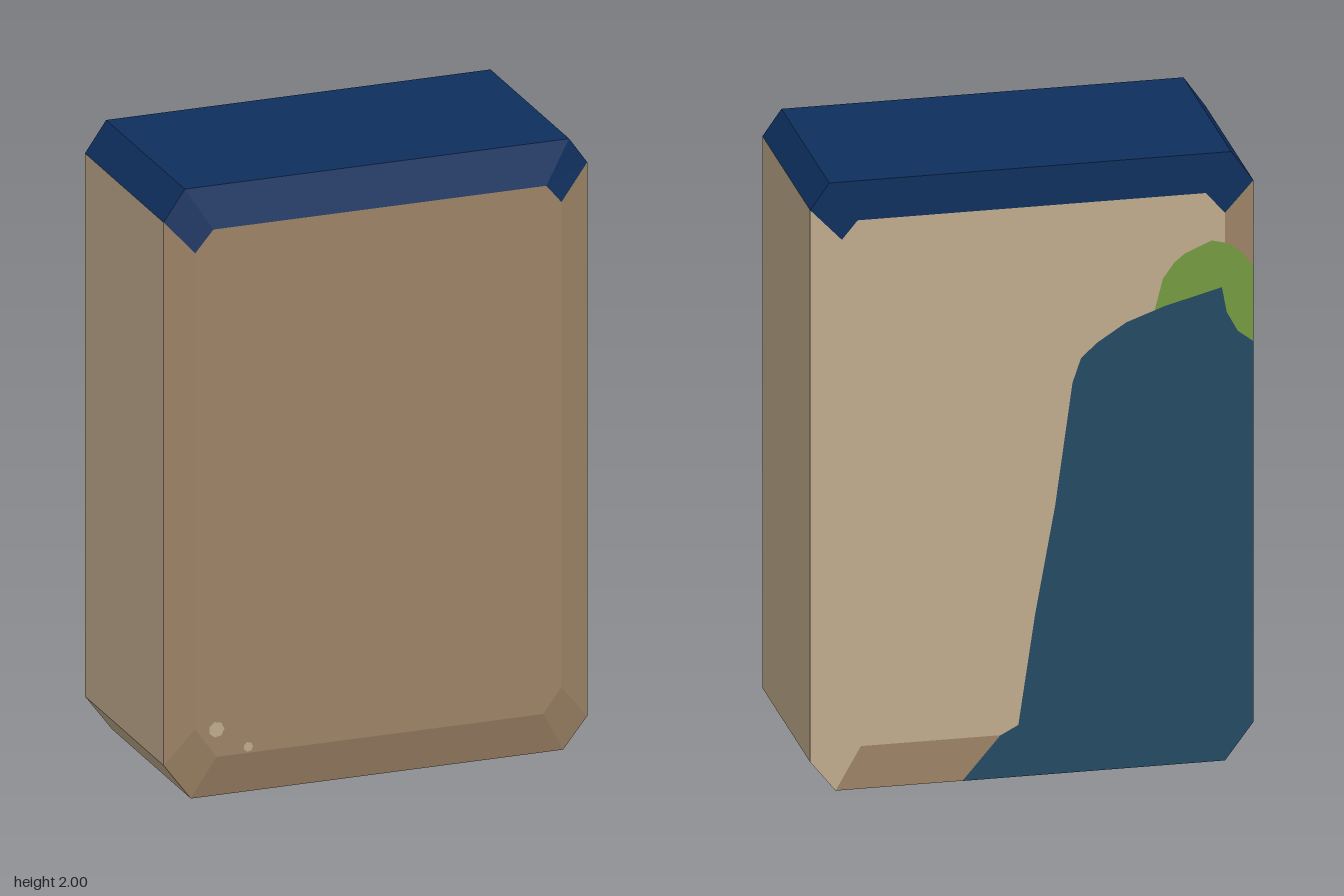
import * as THREE from 'three';

const mat = (name, color) => {
  const m = new THREE.MeshStandardMaterial({ color, flatShading: true });
  m.name = name;
  return m;
};

export function createModel() {
  const group = new THREE.Group();
  const beige = mat('beige', 0xbfab8c);
  const brown = mat('brown', 0x9c8265);
  const navy = mat('navy', 0x0e2f5e);
  const teal = mat('teal', 0x224962);
  const green = mat('green', 0x74993f);
  const grey = mat('grey', 0x8c8c8c);

  // Outline of the body and of the inset panel, counter-clockwise from the front
  const outer = [[-0.61, 0], [0.62, 0], [0.7, 0.1], [0.7, 1.915], [0.64, 2], [-0.63, 2], [-0.7, 1.9], [-0.7, 0.12]];
  const inner = [[-0.54, 0.14], [0.54, 0.14], [0.6, 0.22], [0.6, 1.81], [0.55, 1.87], [-0.55, 1.87], [-0.61, 1.8], [-0.61, 0.24]];
  const zRim = 0.317, zPanel = 0.355, zBack = -0.355;

  const add = (name, geometry, material) => {
    const mesh = new THREE.Mesh(geometry, material);
    mesh.name = name;
    group.add(mesh);
    return mesh;
  };
  const quad = (name, a, b, c, d, material) => {
    const g = new THREE.BufferGeometry();
    g.setAttribute('position', new THREE.Float32BufferAttribute([a, b, c, a, c, d].flat(), 3));
    g.computeVertexNormals();
    add(name, g, material);
  };
  // Flat plate, facing the front or the back
  const plate = (name, points, z, material, facesBack = false) => {
    const pts = points.map(([x, y]) => new THREE.Vector2(facesBack ? -x : x, y));
    const g = new THREE.ShapeGeometry(new THREE.Shape(pts));
    if (facesBack) g.rotateY(Math.PI);
    g.translate(0, 0, z);
    add(name, g, material);
  };

  // Walls, front bevels and back rim, one set per edge of the outline
  const names = ['bottom', 'lowerLeftChamfer', 'leftWall', 'upperLeftChamfer', 'top', 'upperRightChamfer', 'rightWall', 'lowerRightChamfer'];
  const walls = [grey, beige, beige, navy, navy, navy, beige, beige];
  const bevels = [brown, brown, brown, navy, navy, navy, brown, brown];
  const rims = [brown, beige, beige, navy, navy, navy, brown, beige];
  names.forEach((name, k) => {
    const n = (k + 1) % 8;
    const o = (i, z) => [...outer[i], z], p = (i, z) => [...inner[i], z];
    quad(name, o(k, zBack), o(n, zBack), o(n, zRim), o(k, zRim), walls[k]);
    quad(name + 'FrontBevel', o(k, zRim), o(n, zRim), p(n, zPanel), p(k, zPanel), bevels[k]);
    quad(name + 'BackRim', o(n, zBack), o(k, zBack), p(k, zBack), p(n, zBack), rims[k]);
  });

  plate('frontPanel', inner, zPanel, brown);
  plate('backPanel', inner, zBack, beige, true);

  // Painted patches on the back
  plate('greenPatch', [
    [-0.7, 1.36], [-0.38, 1.4], [-0.383, 1.48], [-0.414, 1.6], [-0.45, 1.65],
    [-0.483, 1.677], [-0.568, 1.713], [-0.62, 1.7], [-0.66, 1.67], [-0.7, 1.618],
  ], zBack - 0.001, green, true);
  plate('tealPatch', [
    [-0.7, 0.12], [-0.61, 0], [0.22, 0], [0.1, 0.14], [0.043, 0.17], [-0.01, 0.53], [-0.073, 0.88],
    [-0.128, 1.281], [-0.155, 1.36], [-0.205, 1.406], [-0.298, 1.466], [-0.42, 1.51],
    [-0.6, 1.557], [-0.615, 1.475], [-0.65, 1.41], [-0.7, 1.371],
  ], zBack - 0.002, teal, true);

  // Two small pale chips on the front
  for (const [x, y, r] of [[-0.54, 0.23, 0.026], [-0.435, 0.16, 0.016]]) {
    const chip = add('paleChip', new THREE.CircleGeometry(r, 7), beige);
    chip.position.set(x, y, zPanel + 0.001);
  }
  return group;
}
